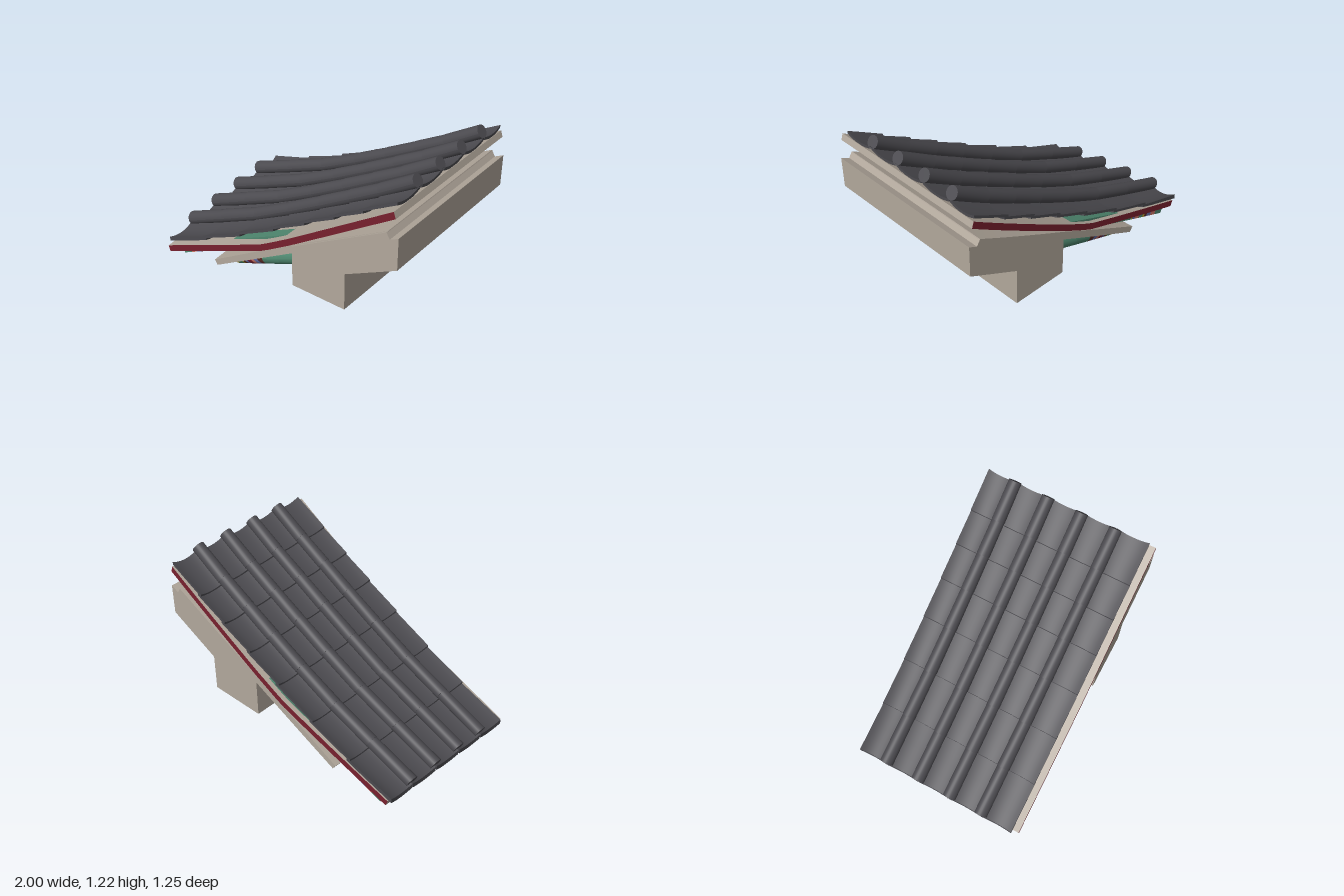
import * as THREE from 'three';

const mat = (name, color) => {
  const m = new THREE.MeshStandardMaterial({ color });
  m.name = name;
  return m;
};
const M = {
  tile: mat('slate grey tile', 0x4c4b50),
  plaster: mat('pale timber', 0xb2a89c),
  green: mat('painted green', 0x4f8870),
  red: mat('crimson', 0x78202e),
  brown: mat('red brown', 0x5c2c26),
  blue: mat('slate blue', 0x6872aa),
  salmon: mat('salmon', 0xcc7465),
  yellow: mat('ochre yellow', 0xc4a622),
};

// The eave sweeps upward toward the back, most of all at its low end
const lift = (x, z) =>
  0.14 * Math.pow(Math.max(0, (0.97 - x) / 1.92), 1.5) * (0.6 - z) / 1.2;

// Height along a polyline of [x, y] points
function heightAt(path, x) {
  let i = 0;
  while (i < path.length - 2 && x > path[i + 1][0]) i++;
  const [a, b] = [path[i], path[i + 1]];
  return a[1] + (b[1] - a[1]) * (x - a[0]) / (b[0] - a[0]);
}

function raise(geo) {
  const p = geo.attributes.position;
  for (let i = 0; i < p.count; i++) p.setY(i, p.getY(i) + lift(p.getX(i), p.getZ(i)));
  geo.computeVertexNormals();
  return geo;
}

// Box whose unit coordinates (u, v, w from 0 to 1) are mapped by a rule to [x, y, z]
function warpBox(nu, nw, rule) {
  const geo = new THREE.BoxGeometry(1, 1, 1, nu, 1, nw);
  const p = geo.attributes.position;
  for (let i = 0; i < p.count; i++) {
    p.setXYZ(i, ...rule(p.getX(i) + 0.5, p.getY(i) + 0.5, p.getZ(i) + 0.5));
  }
  return raise(geo);
}

// Round bar from point a to b; wave0 and wave1 scallop its two ends
function rod(a, b, ra, rb, open = false, wave0 = 0, wave1 = 0) {
  const d = new THREE.Vector3().subVectors(b, a);
  const geo = new THREE.CylinderGeometry(rb, ra, d.length(), 24, 1, open);
  const p = geo.attributes.position;
  for (let i = 0; i < p.count; i++) {
    const s = Math.abs(Math.sin(2 * Math.atan2(p.getX(i), p.getZ(i))));
    p.setY(i, p.getY(i) + s * (p.getY(i) > 0 ? wave1 : wave0));
  }
  const q = new THREE.Quaternion().setFromUnitVectors(new THREE.Vector3(0, 1, 0), d.clone().normalize());
  geo.applyQuaternion(q);
  geo.translate((a.x + b.x) / 2, (a.y + b.y) / 2, (a.z + b.z) / 2);
  return raise(geo);
}

export function createModel() {
  const root = new THREE.Group();
  root.name = 'roofEave';
  const group = (name) => {
    const g = new THREE.Group();
    g.name = name;
    root.add(g);
    return g;
  };
  const add = (parent, name, geo, material) => {
    const m = new THREE.Mesh(geo, material);
    m.name = name;
    parent.add(m);
  };

  // Wall head beam with stepped underside and notched top
  const profile = new THREE.Shape([
    [0.2, 0.235], [0.62, 0.235], [0.62, 0.51], [1, 0.705], [1, 0.93],
    [0.94, 0.9], [0.915, 0.94], [0.2, 0.54],
  ].map(([x, y]) => new THREE.Vector2(x, y)));
  const beam = new THREE.ExtrudeGeometry(profile, { depth: 1.235, bevelEnabled: false });
  beam.translate(0, 0, -0.62);
  add(root, 'wallBeam', beam, M.plaster);

  // Sloping board above the round rafters
  const boardTop = [[-0.515, 0.12], [0.2, 0.545], [0.915, 0.942]];
  add(root, 'lowerBoard', warpBox(8, 6, (u, v, w) => {
    const x = -0.515 + 1.43 * u;
    const under = 1 - v;
    return [x + 0.025 * under, heightAt(boardTop, x) - (0.035 + 0.03 * u) * under, -0.62 + 1.22 * w];
  }), M.plaster);

  // Roof deck: pale top and ends, red edges, green underside
  const deckPath = [[-0.95, 0.045], [-0.05, 0.428], [0.2, 0.58], [0.97, 1.08]];
  add(root, 'roofDeck', warpBox(24, 8, (u, v, w) => {
    const x = -0.95 + 1.92 * u;
    return [x + 0.015 * (0.5 - v), heightAt(deckPath, x) + 0.044 * (v - 0.5), -0.625 + 1.245 * w];
  }), [M.plaster, M.plaster, M.plaster, M.green, M.red, M.red]);

  // Round rafters with scalloped painted bands near the tip
  const roundBands = [
    ['yellow', 0.015], ['green', 0.04], ['yellow', 0.012], ['brown', 0.025],
    ['blue', 0.028], ['red', 0.04], ['salmon', 0.03], ['blue', 0.04],
    ['brown', 0.05], ['green', 0.15], ['green', 0.3],
  ];
  const rounds = group('roundRafters');
  const roundDir = new THREE.Vector3(0.62, 0.265, 0).normalize();
  for (let i = 0; i < 6; i++) {
    const z = 0.435 - 0.182 * i;
    const tip = new THREE.Vector3(-0.425, 0.097, z);
    const at = (s) => tip.clone().addScaledVector(roundDir, s);
    let s = 0;
    roundBands.forEach(([color, len], k) => {
      const wave = (j) => (j > 1 && j < 9 ? 0.014 : 0);
      add(rounds, 'rafterBand', rod(at(s), at(s + len), 0.058, 0.058, true, wave(k), wave(k + 1)), M[color]);
      s += len;
    });
    add(rounds, 'rafterTip', rod(at(-0.004), at(0.001), 0.057, 0.057), M.green);
  }

  // Square flying rafters, banded in paint at the eave
  const squareBands = [
    ['green', 0.082], ['salmon', 0.058], ['blue', 0.05], ['brown', 0.03],
    ['yellow', 0.02], ['green', 0.05], ['salmon', 0.05], ['blue', 0.03],
    ['yellow', 0.015], ['green', 0.4], ['green', 0.43],
  ];
  const squares = group('flyingRafters');
  const slope = Math.atan2(0.53, 1.09);
  const [c, n] = [Math.cos(slope), Math.sin(slope)];
  for (let i = 0; i < 7; i++) {
    const z0 = 0.5 - 0.1745 * i;
    let s = 0;
    squareBands.forEach(([color, len]) => {
      const start = s;
      add(squares, 'flyingRafterBand', warpBox(2, 1, (u, v, w) => {
        const along = start + len * u;
        const up = 0.075 * (v - 0.5);
        return [-0.888 + along * c - up * n, 0.024 + along * n + up * c, z0 + 0.088 * (w - 0.5)];
      }), M[color]);
      s += len;
    });
  }

  // Overlapping rows of concave pan tiles; the last column is a little narrower
  const rows = [
    [-0.985, 0.1], [-0.64, 0.24], [-0.32, 0.4], [-0.02, 0.565],
    [0.24, 0.715], [0.47, 0.85], [0.69, 0.98], [0.955, 1.145],
  ];
  const pitch = 0.248;
  const pans = group('panTiles');
  for (let j = 0; j < 5; j++) {
    const half = j < 4 ? 0.119 : 0.104;
    const z0 = j < 4 ? 0.455 - pitch * j : -0.518;
    for (let i = 0; i < 7; i++) {
      const [a, b] = [rows[i], rows[i + 1]];
      const step = i ? 0.012 : 0;
      const lip = i ? 0 : 0.014;
      const over = i < 6 ? 0.03 : 0;
      add(pans, 'panTile', warpBox(4, 10, (u, v, w) => {
        const x = a[0] + (b[0] + over - a[0]) * u;
        const side = 2 * w - 1;
        const sag = 1 - side * side;
        const y = heightAt(rows, x) + step * (1 - u) - 0.006 * u - 0.024 * sag;
        return [x + 0.01 * sag * (1 - u), y - (0.02 + lip * (1 - u)) * (1 - v), z0 + side * half];
      }), M.tile);
    }
  }

  // Round cover tiles over the joints
  const coverPath = [
    [-0.978, 0.118], [-0.64, 0.275], [-0.32, 0.425], [-0.02, 0.59],
    [0.24, 0.74], [0.47, 0.876], [0.69, 1.006], [0.935, 1.162],
  ];
  const covers = group('coverTiles');
  for (let j = 0; j < 4; j++) {
    const z = 0.333 - pitch * j;
    const point = (k) => new THREE.Vector3(coverPath[k][0], coverPath[k][1] + 0.004 * j * k / 7, z);
    for (let i = 0; i < 7; i++) {
      add(covers, 'coverTile', rod(point(i), point(i + 1), 0.047, 0.045), M.tile);
    }
  }
  return root;
}
